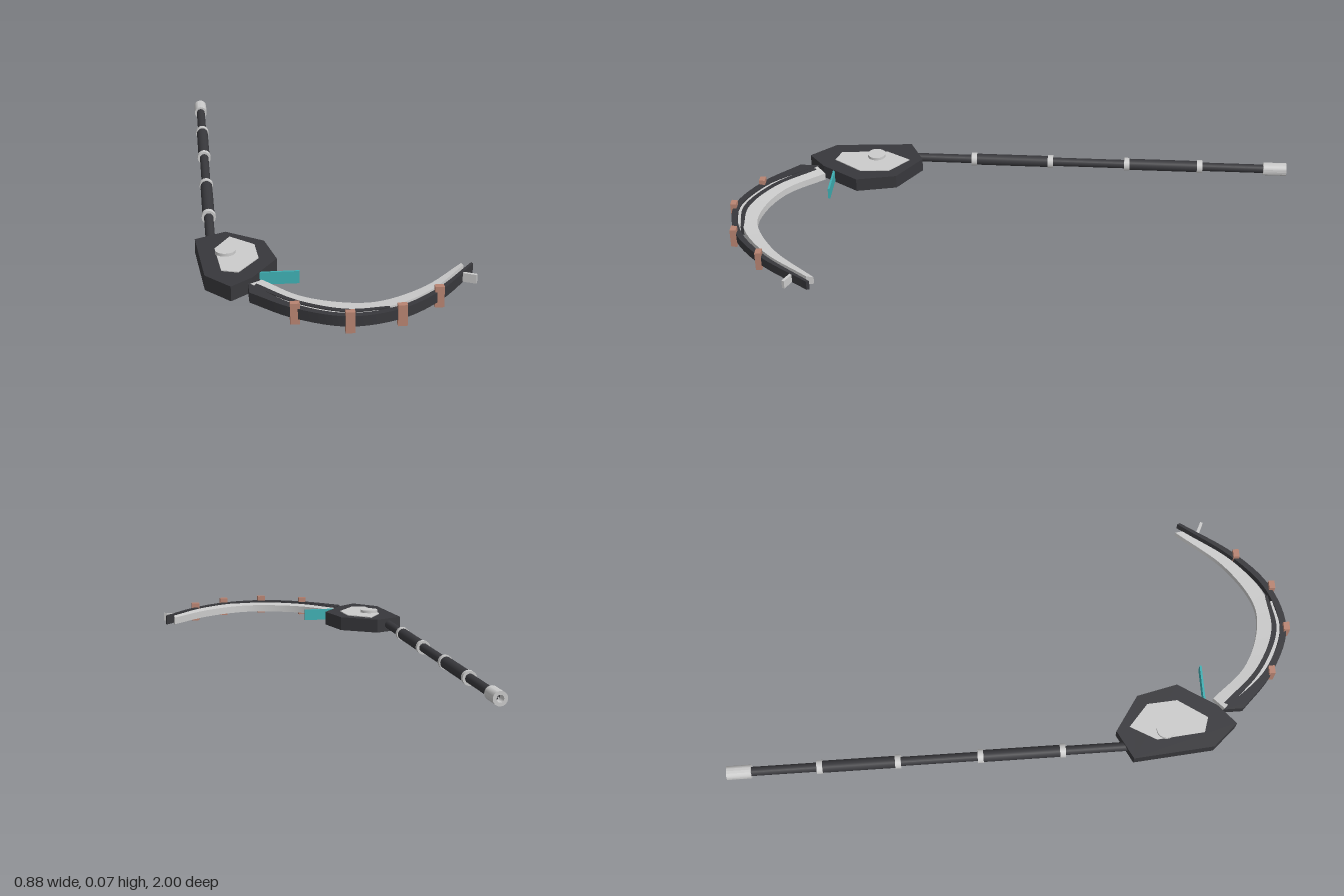
import * as THREE from 'three';
import { toCreasedNormals } from 'three/addons/utils/BufferGeometryUtils.js';

const mat = (color) => new THREE.MeshStandardMaterial({ color });
const grey = mat(0xcccccc), dark = mat(0x38383c), teal = mat(0x3fb0b4), copper = mat(0xb88472);
const MID = 0.04, POLE_X = -0.39;

function add(parent, name, geometry, material, x = 0, y = 0, z = 0) {
  const mesh = new THREE.Mesh(geometry, material);
  mesh.name = name;
  mesh.position.set(x, y, z);
  parent.add(mesh);
  return mesh;
}

// Flat plate from an [x, z] outline between two heights
function plate(points, y0, y1) {
  const shape = new THREE.Shape(points.map(([x, z]) => new THREE.Vector2(x, -z)));
  const geo = new THREE.ExtrudeGeometry(shape, { depth: y1 - y0, bevelEnabled: false });
  return geo.rotateX(-Math.PI / 2).translate(0, y0, 0);
}

const curve = (points) => new THREE.CatmullRomCurve3(points.map(([x, z]) => new THREE.Vector3(x, 0, z)));

// Curved bar between an outer and an inner path; each side has its own [bottom, top]
function curvedBar(outer, inner, outerY, innerY, steps = 32) {
  const a = curve(outer), b = curve(inner), pos = [], index = [];
  for (let i = 0; i <= steps; i++) {
    const p = a.getPoint(i / steps), q = b.getPoint(i / steps);
    pos.push(p.x, outerY[1], p.z, p.x, outerY[0], p.z, q.x, innerY[0], q.z, q.x, innerY[1], q.z);
  }
  for (let i = 0; i < steps; i++) {
    for (let k = 0; k < 4; k++) {
      const s = i * 4 + k, t = i * 4 + (k + 1) % 4;
      index.push(s, t, t + 4, s, t + 4, s + 4);
    }
  }
  const e = steps * 4;
  index.push(3, 2, 1, 3, 1, 0, e, e + 1, e + 2, e, e + 2, e + 3);
  const geo = new THREE.BufferGeometry();
  geo.setAttribute('position', new THREE.Float32BufferAttribute(pos, 3));
  geo.setIndex(index);
  return toCreasedNormals(geo, 0.5);
}

export function createModel() {
  const model = new THREE.Group();
  model.name = 'scythe';

  // Pole, with grips, rings and a hollow end cap
  const pole = new THREE.Group();
  pole.name = 'pole';
  model.add(pole);
  const rod = (name, r, z0, z1, material) => add(pole, name,
    new THREE.CylinderGeometry(r, r, z1 - z0, 16).rotateX(Math.PI / 2), material, POLE_X, MID, (z0 + z1) / 2);
  rod('shaft', 0.016, -0.96, 0.45, dark);
  for (const [z0, z1] of [[-0.68, -0.41], [-0.125, 0.16]]) {
    rod('grip', 0.021, z0, z1, dark);
    for (const z of [z0, z1]) rod('ring', 0.0245, z - 0.01, z + 0.01, grey);
  }
  const capProfile = [[0, 0.04], [0.012, 0.04], [0.012, 0], [0.024, 0], [0.024, 0.085], [0, 0.085]]
    .map(([r, h]) => new THREE.Vector2(r, h));
  const cap = toCreasedNormals(new THREE.LatheGeometry(capProfile, 16), 0.6).rotateX(Math.PI / 2);
  add(pole, 'endCap', cap, new THREE.MeshStandardMaterial({ color: 0xcccccc, side: THREE.DoubleSide }), POLE_X, MID, -1);

  // Angular housing with inset plates and a round hub
  const housing = new THREE.Group();
  housing.name = 'housing';
  model.add(housing);
  add(housing, 'housingBody', plate([[-0.34, 0.35], [-0.217, 0.434], [-0.185, 0.577], [-0.27, 0.71],
    [-0.34, 0.77], [-0.418, 0.683], [-0.442, 0.402]], 0.014, 0.064), dark);
  add(housing, 'facePlate', plate([[-0.328, 0.397], [-0.25, 0.466], [-0.243, 0.571], [-0.312, 0.672],
    [-0.365, 0.655], [-0.38, 0.487]], 0.011, 0.067), grey);
  add(housing, 'hub', new THREE.CylinderGeometry(0.033, 0.033, 0.074, 24), grey, -0.347, MID, 0.522);
  add(housing, 'fin', new THREE.BoxGeometry(0.14, 0.042, 0.007), teal, -0.19, MID, 0.668);

  // Curved blade: dark spine, pale seam, dark liner and grey cutting blade
  const blade = new THREE.Group();
  blade.name = 'blade';
  model.add(blade);
  add(blade, 'spine', curvedBar(
    [[-0.285, 0.80], [-0.16, 0.917], [0, 0.988], [0.16, 0.953], [0.295, 0.845], [0.434, 0.655]],
    [[-0.285, 0.73], [-0.15, 0.893], [0, 0.965], [0.15, 0.935], [0.283, 0.832], [0.43, 0.645]],
    [0.022, 0.056], [0.022, 0.056]), dark);
  add(blade, 'seam', curvedBar(
    [[-0.27, 0.76], [-0.15, 0.893], [0, 0.965], [0.11, 0.952]],
    [[-0.265, 0.75], [-0.145, 0.882], [0, 0.953], [0.11, 0.945]], [0.024, 0.052], [0.024, 0.052]), grey);
  add(blade, 'liner', curvedBar(
    [[-0.27, 0.755], [-0.145, 0.882], [0, 0.953], [0.13, 0.938]],
    [[-0.26, 0.735], [-0.14, 0.865], [0, 0.935], [0.13, 0.928]], [0.022, 0.055], [0.022, 0.055]), dark);
  add(blade, 'cuttingBlade', curvedBar(
    [[-0.28, 0.735], [-0.15, 0.86], [0, 0.938], [0.13, 0.928], [0.27, 0.83], [0.402, 0.66]],
    [[-0.24, 0.70], [-0.13, 0.825], [0, 0.883], [0.10, 0.885], [0.25, 0.80], [0.40, 0.635]],
    [0.019, 0.054], [0.024, 0.05]), grey);

  // Clips along the spine and a small prong at the tip
  for (const [x, z] of [[-0.155, 0.915], [0.004, 0.987], [0.165, 0.955], [0.295, 0.842]]) {
    add(blade, 'clip', new THREE.BoxGeometry(0.029, 0.069, 0.021), copper, x, 0.039, z);
  }
  add(blade, 'tipProng', new THREE.BoxGeometry(0.045, 0.03, 0.01), grey, 0.412, 0.039, 0.724).rotation.y = -0.45;
  return model;
}
